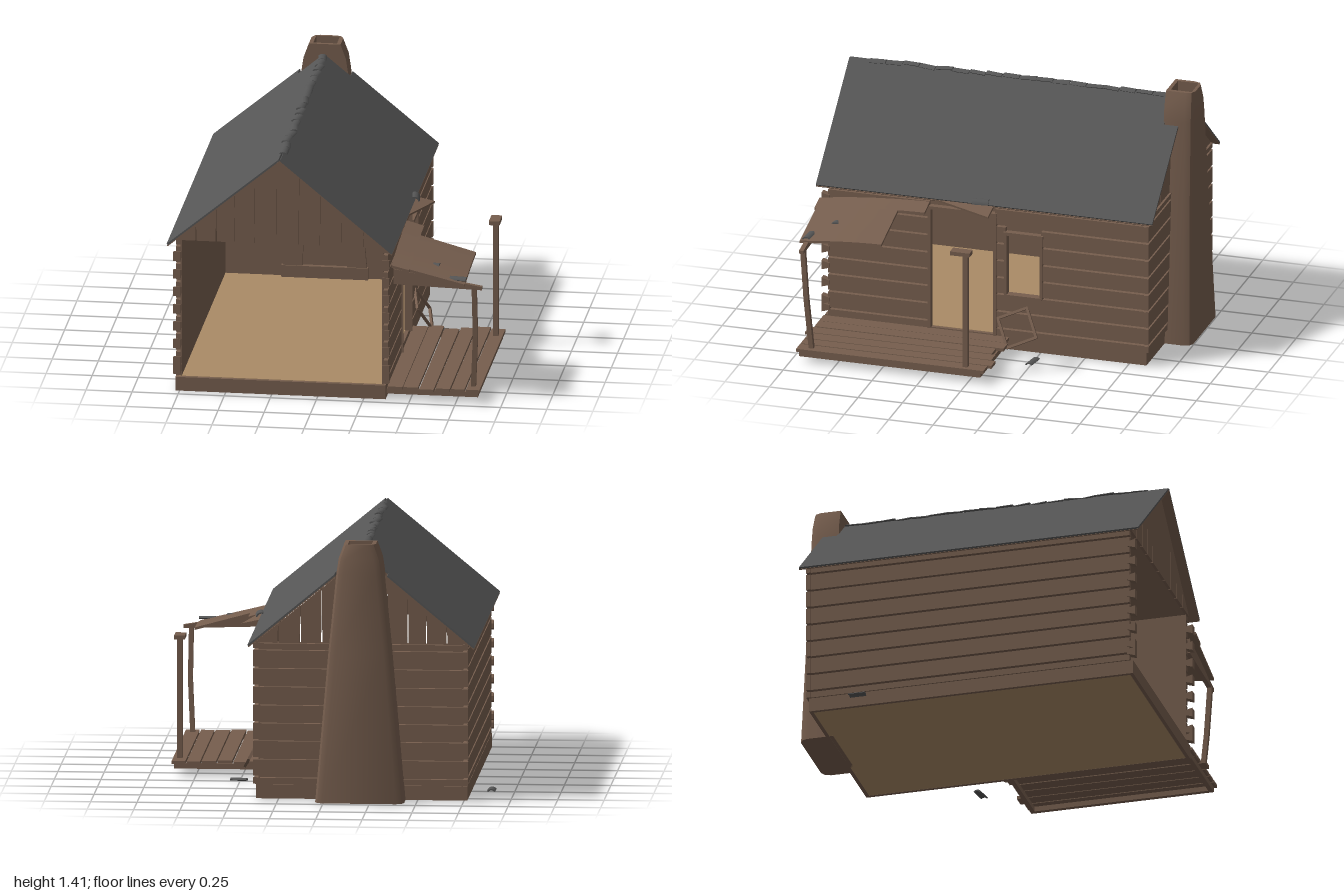
import * as THREE from 'three';
import { toCreasedNormals } from 'three/addons/utils/BufferGeometryUtils.js';

const mat = (name, color) => new THREE.MeshStandardMaterial({ name, color, side: THREE.DoubleSide });
const timber = mat('timber brown', 0x765e4e);
const slate = mat('slate grey', 0x555555);
const plank = mat('floor tan', 0xaa8b66);

const V = (x, y, z) => new THREE.Vector3(x, y, z);
const RIDGE_X = -0.2, RIDGE_Y = 1.365, RUN = 0.607, DROP = 0.503;
const PITCH = Math.atan2(DROP, RUN);
const roofY = x => RIDGE_Y - 0.025 - Math.abs(x - RIDGE_X) * DROP / RUN;

let seed = 7;
const rand = () => (seed = (seed * 16807) % 2147483647) / 2147483647;
const jitter = s => (rand() - 0.5) * s;

function add(parent, name, geo, material = timber) {
  const m = new THREE.Mesh(geo, material);
  m.name = name;
  parent.add(m);
  return m;
}

// Box given by its lower and upper bounds
function block(parent, name, x0, x1, y0, y1, z0, z1, material) {
  const m = add(parent, name, new THREE.BoxGeometry(x1 - x0, y1 - y0, z1 - z0), material);
  m.position.set((x0 + x1) / 2, (y0 + y1) / 2, (z0 + z1) / 2);
}

// Square bar between two points
function bar(parent, name, a, b, w) {
  const dir = b.clone().sub(a);
  const m = add(parent, name, new THREE.BoxGeometry(w, dir.length(), w));
  m.position.copy(a).add(b).multiplyScalar(0.5);
  m.quaternion.setFromUnitVectors(V(0, 1, 0), dir.normalize());
}

// Skin through rows of points
function skin(rows) {
  const n = rows[0].length, index = [];
  for (let i = 0; i < rows.length - 1; i++) for (let j = 0; j < n - 1; j++) {
    const a = i * n + j, b = a + 1, c = a + n, d = c + 1;
    index.push(a, c, b, b, c, d);
  }
  const g = new THREE.BufferGeometry().setFromPoints(rows.flat());
  g.setIndex(index);
  return toCreasedNormals(g, 0.7);
}

const poly = pts => new THREE.Shape(pts.map(([x, y]) => new THREE.Vector2(x, y)));
const extrude = (shape, depth) => new THREE.ExtrudeGeometry(shape, { depth, bevelEnabled: false });

function buildWalls(g) {
  const rows = [0.09, 0.135, 0.235, 0.335, 0.432, 0.53, 0.63, 0.73, 0.83, 0.868];
  const door = [0, 0.37, 0.09, 0.79], win = [-0.26, -0.06, 0.33, 0.69];
  for (let i = 0; i < rows.length - 1; i++) {
    const y0 = rows[i] + 0.006, y1 = rows[i + 1] - 0.006, mid = (y0 + y1) / 2;
    block(g, 'leftLog', -0.77, -0.745, y0, y1 + jitter(0.004), -0.86, 0.94);
    // right wall logs are split by the doorway and window
    const cuts = [door, win].filter(o => mid > o[2] && mid < o[3]).sort((a, b) => a[0] - b[0]);
    let z = -0.86;
    for (const c of [...cuts, [0.94]]) {
      block(g, 'rightLog', 0.355, 0.38, y0, y1 + jitter(0.004), z, c[0]);
      z = c[1];
    }
    block(g, 'backLog', -0.775, 0.385, y0, y1, -0.865, -0.84);
    // dovetailed log ends at the open front corners
    if (i < 8) for (const x of [-0.78, 0.352]) {
      const y = rows[i] + 0.03;
      const s = poly([[-0.93, y + 0.008], [-0.975, y - 0.006], [-0.975, y + 0.046], [-0.93, y + 0.034]]);
      add(g, 'logEnd', extrude(s, 0.04).rotateY(Math.PI / 2)).position.x = x;
    }
  }
  // plain inner linings
  block(g, 'leftLining', -0.746, -0.738, 0.09, 0.865, -0.85, 0.94);
  block(g, 'backLining', -0.745, 0.355, 0.09, 0.865, -0.842, -0.83);
  const rect = ([z0, z1, y0, y1]) => [[-z0, y0], [-z1, y0], [-z1, y1], [-z0, y1]];
  const lining = poly(rect([-0.85, 0.94, 0.08, 0.865]));
  lining.holes.push(poly(rect(door)), poly(rect(win)));
  add(g, 'rightLining', extrude(lining, 0.008).rotateY(Math.PI / 2)).position.x = 0.348;
  block(g, 'backPlate', -0.745, 0.355, 0.83, 0.865, -0.845, -0.822);
  // door and window frames
  for (const [n, [z0, z1, y0, y1]] of [['door', door], ['window', win]]) {
    for (const z of [z0, z1]) block(g, n + 'Jamb', 0.345, 0.388, y0, y1, z - 0.008, z + 0.008);
    block(g, n + 'Head', 0.345, 0.39, y1 - 0.008, y1 + 0.01, z0 - 0.012, z1 + 0.012);
  }
  block(g, 'windowSill', 0.345, 0.39, 0.325, 0.338, -0.262, -0.058);
}

function buildGables(g) {
  const gaps = [-0.775, -0.66, -0.55, -0.45, -0.34, -0.22, -0.1, 0.015, 0.13, 0.25, 0.375];
  // the gaps between boards close toward the top
  for (const z of [0.935, -0.855]) for (let i = 0; i < gaps.length - 1; i++) {
    const a = gaps[i], b = gaps[i + 1], gap = 0.004;
    const pts = [[a + gap, 0.865], [b - gap, 0.865], [b - 0.0005, Math.max(0.866, roofY(b))]];
    if (a < RIDGE_X && b > RIDGE_X) pts.push([RIDGE_X, roofY(RIDGE_X)]);
    pts.push([a + 0.0005, Math.max(0.866, roofY(a))]);
    add(g, 'gableBoard', extrude(poly(pts), 0.015)).position.z = z;
  }
}

// Curved ridge tile, lying along z
function tile(parent, name, x, y, z, turn, tilt, pitch = 0) {
  const s = new THREE.Shape().absarc(0, 0, 0.03, 0.7, Math.PI - 0.7, false);
  s.absarc(0, 0, 0.022, Math.PI - 0.7, 0.7, true);
  const geo = new THREE.ExtrudeGeometry(s, { depth: 0.09, bevelEnabled: false, curveSegments: 6 });
  const m = add(parent, name, geo.translate(0, -0.024, -0.045), slate);
  m.position.set(x, y, z);
  m.rotation.set(pitch, turn, tilt);
}

function buildRoof(g) {
  const len = Math.hypot(RUN, DROP), notch = 0.18;
  for (const s of [1, -1]) {
    // slope outline notched around the chimney, slate above boards
    const pts = [[0, -1], [len, -1], [len, 0.895], [notch, 0.895], [notch, 0.815], [0, 0.815]];
    const shape = poly(pts.map(([u, v]) => [u, v * s]));
    for (const [name, depth, drop, material] of [['roofSlope', 0.009, 0.012, slate], ['roofBoards', 0.005, 0.0185, timber]]) {
      const geo = extrude(shape, depth).rotateX(-Math.PI / 2).rotateZ(-PITCH);
      if (s < 0) geo.rotateY(Math.PI);
      add(g, name, geo, material).position.set(RIDGE_X, RIDGE_Y - drop, 0);
    }
  }
  // crooked ridge tiles
  for (let i = 0; i < 18; i++)
    tile(g, 'ridgeTile', RIDGE_X + jitter(0.014), RIDGE_Y - 0.002 + jitter(0.008), -0.76 + i * 0.094, jitter(0.3), jitter(0.25), jitter(0.08));
  // fallen tiles on the ground and porch
  tile(g, 'fallenTile', -0.88, 0.032, -0.55, 0, 0);
  tile(g, 'fallenTile', 0.505, 0.022, -0.25, 1.4, 0, 0.12);
  tile(g, 'fallenTile', 0.42, 0.877, 0.07, 0.1, -0.5);
  tile(g, 'fallenTile', 0.76, 0.71, 0.93, 1.5, 0, 0.15);
  tile(g, 'fallenTile', 0.6, 0.745, 0.82, 1.5, 0, 0.2);
}

function buildChimney(g) {
  const F = -0.81;
  const prof = [[0.015, 0.24, -1], [0.83, 0.17, -0.98], [1.26, 0.127, -0.972], [1.34, 0.115, -0.97], [1.42, 0.086, -0.965]];
  const section = (h, zb) => [[-h, F], [-h, zb + 0.045], [-h + 0.012, zb + 0.014], [-h + 0.04, zb],
    [h - 0.04, zb], [h - 0.012, zb + 0.014], [h, zb + 0.045], [h, F]];
  const c = new THREE.Group();
  c.name = 'chimney';
  c.position.x = -0.197;
  g.add(c);
  add(c, 'chimneyStack', skin(prof.map(([y, h, zb]) => section(h, zb).map(([x, z]) => V(x, y, z)))));
  // front face with the hearth opening
  const arch = [[-0.12, 0.16], [-0.118, 0.3], [-0.1, 0.33], [-0.07, 0.342], [0.07, 0.342], [0.1, 0.33], [0.118, 0.3], [0.12, 0.16]];
  const face = poly([...prof.map(p => [-p[1], p[0]]), ...prof.map(p => [p[1], p[0]]).reverse()]);
  face.holes.push(poly(arch));
  add(c, 'chimneyFront', new THREE.ShapeGeometry(face)).position.z = F;
  const loop = [...arch, arch[0]];
  add(c, 'fireboxSides', skin([F, F - 0.11].map(z => loop.map(([x, y]) => V(x, y, z)))));
  add(c, 'fireboxBack', new THREE.ShapeGeometry(poly(arch))).position.z = F - 0.11;
  block(c, 'hearth', -0.235, 0.235, 0.09, 0.16, -0.83, F + 0.008);
  // rim and hollow flue
  const hole = [[-0.064, -0.948], [0.064, -0.948], [0.064, -0.83], [-0.064, -0.83]];
  const rim = poly(section(0.086, -0.965));
  rim.holes.push(poly(hole));
  add(c, 'chimneyRim', new THREE.ShapeGeometry(rim).rotateX(Math.PI / 2)).position.y = 1.42;
  add(c, 'flue', skin([1.42, 1.3].map(y => [...hole, hole[0]].map(([x, z]) => V(x, y, z)))));
  add(c, 'flueBottom', new THREE.ShapeGeometry(poly(hole)).rotateX(Math.PI / 2)).position.y = 1.3;
  add(c, 'chimneyBase', new THREE.ShapeGeometry(poly(section(0.24, -1))).rotateX(Math.PI / 2)).position.y = 0.016;
}

function buildPorch(g) {
  // deck boards over a rim frame: near edge, far edge, back end
  for (const [x0, x1, z] of [[0.38, 0.463, -0.08], [0.466, 0.546, -0.1], [0.556, 0.634, -0.06],
    [0.641, 0.719, -0.085], [0.726, 0.798, -0.11], [0.806, 0.88, -0.09]])
    block(g, 'deckBoard', x0, x1, 0.073, 0.09, z, x0 === 0.556 ? 0.99 : 0.965);
  for (const x of [0.375, 0.845]) block(g, 'deckRim', x, x + 0.025, 0.045, 0.073, -0.07, 0.95);
  for (const z of [-0.07, 0.925]) block(g, 'deckJoist', 0.375, 0.87, 0.045, 0.073, z, z + 0.025);
  // posts and caps
  bar(g, 'rearPost', V(0.843, 0.088, 0.02), V(0.843, 0.745, 0.02), 0.028);
  block(g, 'rearPostCap', 0.815, 0.873, 0.738, 0.76, -0.01, 0.1);
  bar(g, 'frontPost', V(0.838, 0.088, 0.89), V(0.852, 0.38, 0.915), 0.026);
  bar(g, 'frontPost', V(0.852, 0.38, 0.915), V(0.848, 0.66, 0.935), 0.026);
  // tapered beam under the front edge
  const beam = poly([[0.41, 0.665], [0.89, 0.65], [0.89, 0.668], [0.41, 0.75]]);
  add(g, 'porchBeam', extrude(beam, 0.025)).position.z = 0.92;
  // sagging, twisted roof remnant
  const board = (x0, x1, z0, z1) => {
    const b = new THREE.BoxGeometry(x1 - x0, 0.014, z1 - z0, 4, 1, 6).translate((x0 + x1) / 2, 0, (z0 + z1) / 2);
    const p = b.attributes.position;
    for (let i = 0; i < p.count; i++) {
      const u = (p.getX(i) - 0.41) / 0.39, v = (0.97 - p.getZ(i)) / 0.6;
      p.setY(i, p.getY(i) + 0.775 - 0.095 * u + 0.05 * v - 0.015 * u * v + 0.01 * Math.sin(v * Math.PI));
    }
    b.computeVertexNormals();
    add(g, 'porchRoofBoard', b);
  };
  board(0.405, 0.5, 0.36, 0.98);
  board(0.5, 0.8, 0.51, 0.97);
  const scrap = add(g, 'porchRoofScrap', extrude(poly([[0.395, 0], [0.52, 0], [0.42, -0.3]]), 0.012).rotateX(-Math.PI / 2));
  scrap.position.y = 0.93;
  scrap.rotation.z = -0.22;
  // fallen window frame leaning on the wall
  const f = new THREE.Group();
  f.name = 'fallenFrame';
  for (const s of [-0.085, 0.085]) {
    bar(f, 'frameUpright', V(0, -0.085, s), V(0, 0.085, s), 0.014);
    bar(f, 'frameRail', V(0, s, -0.09), V(0, s, 0.09), 0.014);
  }
  f.position.set(0.43, 0.17, -0.14);
  f.rotation.set(0.45, 0, 0.48, 'ZYX');
  g.add(f);
}

export function createModel() {
  const g = new THREE.Group();
  g.name = 'logCabin';
  // foundation sills around the floor
  block(g, 'floor', -0.75, 0.35, 0.016, 0.094, -0.83, 0.94, plank);
  for (const [x0, x1] of [[-0.77, -0.75], [0.35, 0.37]]) block(g, 'sideSill', x0, x1, 0.015, 0.092, -0.85, 0.96);
  for (const [z0, z1] of [[-0.85, -0.83], [0.94, 0.96]]) block(g, 'endSill', -0.75, 0.35, 0.015, 0.092, z0, z1);
  for (const build of [buildWalls, buildGables, buildRoof, buildChimney, buildPorch]) build(g);
  return g;
}
